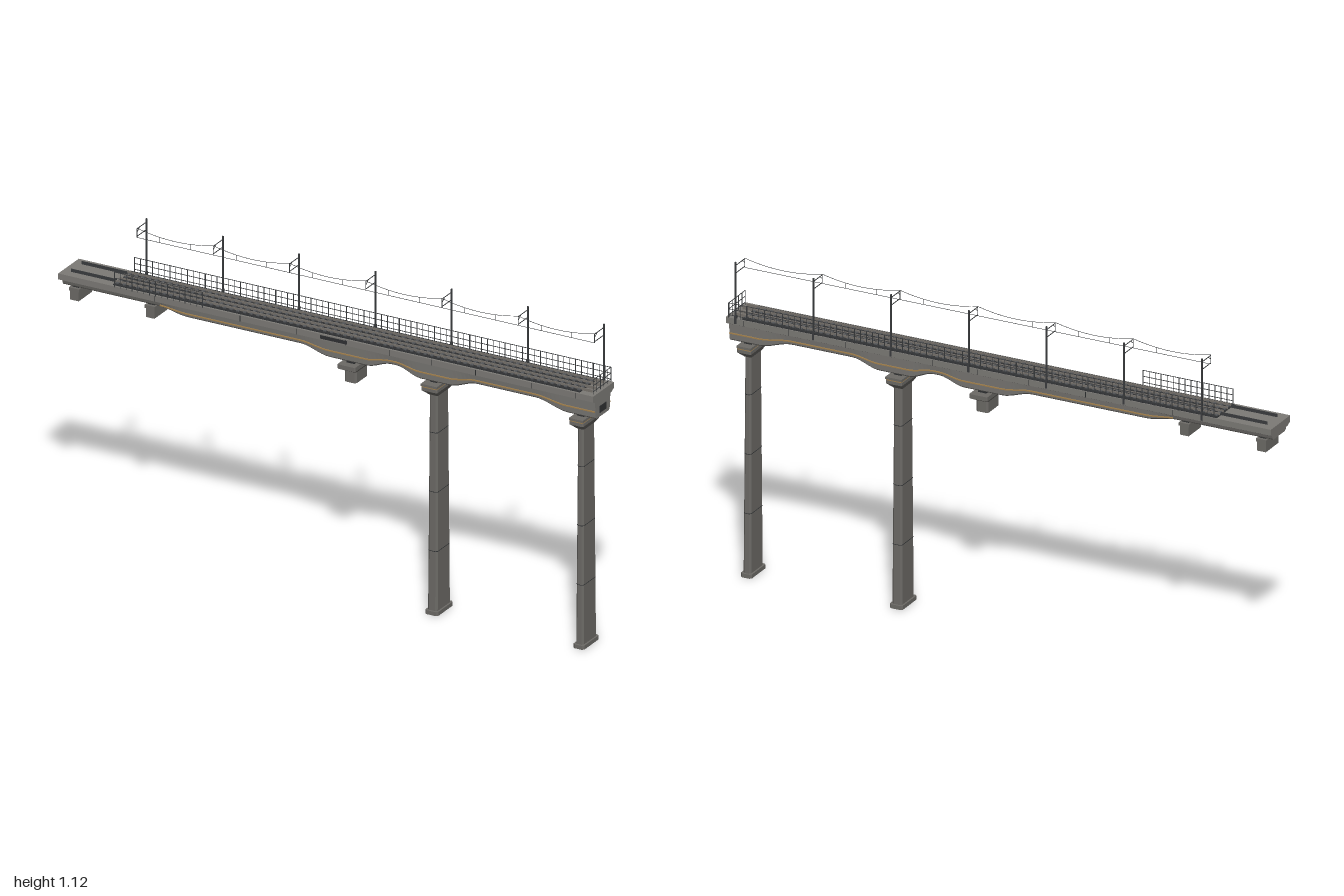
import * as THREE from 'three';
import { mergeGeometries } from 'three/addons/utils/BufferGeometryUtils.js';

const mat = (color) => new THREE.MeshStandardMaterial({ color, flatShading: true });
const concrete = mat(0x7c7a76), pierGrey = mat(0x6c6a66), dark = mat(0x2e3032);
const steel = mat(0x3a3c3e), sleeperGrey = mat(0x55575a), railGrey = mat(0x77726c), ochre = mat(0xa4824e);

// box from its limits
function box(x0, x1, y0, y1, z0, z1) {
  return new THREE.BoxGeometry(x1 - x0, y1 - y0, z1 - z0)
    .translate((x0 + x1) / 2, (y0 + y1) / 2, (z0 + z1) / 2);
}

// square bar between two points
function bar(a, b, r) {
  const p = new THREE.Vector3(...a), d = new THREE.Vector3(...b).sub(p);
  const q = new THREE.Quaternion().setFromUnitVectors(new THREE.Vector3(0, 1, 0), d.clone().normalize());
  return new THREE.BoxGeometry(2 * r, d.length(), 2 * r)
    .applyQuaternion(q).translate(...p.addScaledVector(d, 0.5).toArray());
}

// skin over convex rings of points, closed at both ends
function loft(rings) {
  const pos = [], n = rings[0].length;
  const tri = (...pts) => pts.forEach((p) => pos.push(...p));
  for (let k = 0; k + 1 < rings.length; k++) {
    const a = rings[k], b = rings[k + 1];
    for (let i = 0; i < n; i++) {
      const j = (i + 1) % n;
      tri(a[i], a[j], b[j]);
      tri(a[i], b[j], b[i]);
    }
  }
  const first = rings[0], last = rings[rings.length - 1];
  for (let i = 1; i + 1 < n; i++) {
    tri(first[0], first[i + 1], first[i]);
    tri(last[0], last[i], last[i + 1]);
  }
  const g = new THREE.BufferGeometry();
  g.setAttribute('position', new THREE.Float32BufferAttribute(pos, 3));
  g.computeVertexNormals();
  return g;
}

// underside height of the girder, eased between key points
const keys = [[-1, 0.872], [-0.64, 0.872], [-0.53, 0.855], [-0.11, 0.855], [0, 0.83], [0.14, 0.83], [0.23, 0.855],
  [0.25, 0.855], [0.34, 0.828], [0.45, 0.828], [0.55, 0.855], [0.77, 0.855], [0.89, 0.828], [1, 0.828]];
function bottom(x) {
  let i = 0;
  while (i < keys.length - 2 && x > keys[i + 1][0]) i++;
  const [x0, y0] = keys[i], [x1, y1] = keys[i + 1];
  return y0 + (y1 - y0) * THREE.MathUtils.smoothstep(x, x0, x1);
}
const stations = (x0, x1, n) => Array.from({ length: n + 1 }, (_, i) => x0 + (x1 - x0) * i / n);

// rectangle ring with cut corners at height y (half sizes hx, hz)
function pierRing(cx, y, hx, hz, c = 0.006) {
  return [[hz, -hx + c], [hz, hx - c], [hz - c, hx], [-hz + c, hx], [-hz, hx - c],
    [-hz, -hx + c], [-hz + c, -hx], [hz - c, -hx]].map(([z, x]) => [cx + x, y, z]);
}

export function createModel() {
  const group = new THREE.Group();
  const add = (name, material, ...geos) => {
    const list = geos.flat().map((g) => {
      const s = g.index ? g.toNonIndexed() : g;
      s.deleteAttribute('uv');
      return s;
    });
    const mesh = new THREE.Mesh(mergeGeometries(list), material);
    mesh.name = name;
    group.add(mesh);
  };

  // deck slab with sloping cantilever undersides
  const slab = [[0.918, -0.068], [0.918, 0.068], [0.897, 0.068], [0.888, 0.05], [0.888, -0.05], [0.897, -0.068]];
  add('deckSlab', concrete, loft([-1, 1].map((x) => slab.map(([y, z]) => [x, y, z]))));

  // haunched box girder with sloping webs
  add('girder', concrete, loft(stations(-0.995, 0.997, 130).map((x) => {
    const b = bottom(x);
    return [[0.89, -0.051], [0.89, 0.051], [b + 0.005, 0.046], [b, 0.041], [b, -0.041], [b + 0.005, -0.046]]
      .map(([y, z]) => [x, y, z]);
  })));

  // coloured stripe along both webs, following the haunches
  const stripe = (s) => loft(stations(-0.63, 0.996, 100).map((x) => {
    const y = 0.888 - (0.888 - bottom(x)) * 0.55, z = 0.0495 * s;
    return [[y + 0.002, z - 0.002], [y + 0.002, z + 0.002], [y - 0.002, z + 0.002], [y - 0.002, z - 0.002]]
      .map(([yy, zz]) => [x, yy, zz]);
  }));
  add('girderStripe', ochre, stripe(1), stripe(-1));

  // segment joints, edge line and the hatch in the end face
  const joints = [-0.64, -0.32, -0.11, 0.075, 0.24, 0.395, 0.56, 0.77, 0.935];
  add('deckJoints', dark, joints.map((x) => box(x - 0.001, x + 0.001, 0.897, 0.917, -0.0687, 0.0687)));
  add('endHatch', dark, box(0.99, 0.999, 0.842, 0.866, -0.021, 0.021));
  add('sidePlate', dark, box(-0.02, 0.08, 0.902, 0.914, 0.06, 0.07));

  // ballast bed, sleepers and running rails
  add('trackBed', dark, box(-0.8, 0.945, 0.915, 0.92, -0.064, 0.06));
  const sleepers = [];
  for (let x = -0.79; x < 0.94; x += 0.025) {
    sleepers.push(box(x - 0.005, x + 0.005, 0.918, 0.9235, -0.052, -0.006));
    sleepers.push(box(x - 0.005, x + 0.005, 0.918, 0.9235, 0.004, 0.05));
  }
  add('sleepers', sleeperGrey, sleepers);
  add('rails', railGrey, [-0.042, -0.016, 0.014, 0.04].map((z) => box(-0.8, 0.98, 0.918, 0.928, z - 0.0013, z + 0.0013)));
  add('approachRails', steel, [-0.035, 0.035].map((z) => box(-0.97, -0.8, 0.917, 0.929, z - 0.001, z + 0.001)));

  // tall piers: plinth, tapered shaft, flared cap, bearings
  for (const [cx, hx] of [[0.385, 0.018], [0.935, 0.014]]) {
    add('pierPlinth', pierGrey, loft([pierRing(cx, 0, hx + 0.006, 0.053), pierRing(cx, 0.014, hx + 0.006, 0.053)]));
    add('pierShaft', pierGrey, loft([pierRing(cx, 0.012, hx, 0.046), pierRing(cx, 0.79, hx - 0.003, 0.039)]));
    add('pierJoints', dark, [0.225, 0.435, 0.645].map((y) => {
      const t = y / 0.79, rx = hx - 0.003 * t + 0.0006, rz = 0.0464 - 0.007 * t + 0.0004;
      return loft([pierRing(cx, y - 0.001, rx, rz), pierRing(cx, y + 0.001, rx, rz)]);
    }));
    add('pierCap', pierGrey, loft([pierRing(cx, 0.778, hx, 0.04, 0.003), pierRing(cx, 0.8, hx + 0.012, 0.067, 0.003),
      pierRing(cx, 0.811, hx + 0.012, 0.067, 0.003)]), box(cx - hx - 0.012, cx + hx + 0.012, 0.815, 0.823, -0.068, 0.068));
    add('pierCapBand', ochre, box(cx - hx - 0.01, cx + hx + 0.01, 0.81, 0.816, -0.066, 0.066));
    add('bearings', dark, [-0.026, 0.026].map((z) => box(cx - 0.013, cx + 0.013, 0.822, 0.832, z - 0.012, z + 0.012)));
  }

  // short middle pier
  add('shortPier', pierGrey, loft([pierRing(0.075, 0.755, 0.022, 0.04), pierRing(0.075, 0.81, 0.022, 0.04)]),
    loft([pierRing(0.075, 0.795, 0.023, 0.042, 0.003), pierRing(0.075, 0.808, 0.033, 0.066, 0.003),
      pierRing(0.075, 0.823, 0.033, 0.066, 0.003)]));
  add('shortPierBearings', dark, [-0.026, 0.026].map((z) => box(0.06, 0.09, 0.822, 0.833, z - 0.012, z + 0.012)));

  // approach supports
  for (const cx of [-0.953, -0.67]) {
    add('approachSupport', pierGrey, box(cx - 0.016, cx + 0.016, 0.823, 0.862, -0.044, 0.044),
      box(cx - 0.019, cx + 0.019, 0.856, 0.867, -0.047, 0.047));
    add('approachBearings', dark, [-0.026, 0.026].map((z) => box(cx - 0.012, cx + 0.012, 0.866, 0.874, z - 0.01, z + 0.01)));
  }

  // handrails: posts and three horizontal bars
  const railing = (a, b) => {
    const n = Math.round(Math.hypot(b[0] - a[0], b[1] - a[1]) / 0.022);
    const at = (t, y) => [a[0] + (b[0] - a[0]) * t, y, a[1] + (b[1] - a[1]) * t];
    const parts = [0.927, 0.948, 0.969].map((y) => bar(at(0, y), at(1, y), 0.0009));
    for (let i = 0; i <= n; i++) parts.push(bar(at(i / n, 0.915), at(i / n, 0.97), i % 3 ? 0.0007 : 0.0013));
    return parts;
  };
  add('backRailing', steel, railing([-0.79, -0.066], [0.99, -0.066]));
  add('frontRailing', steel, railing([-0.79, 0.068], [-0.46, 0.068]));
  add('endRailing', steel, railing([0.99, -0.066], [0.99, 0.05]));

  // overhead line masts with bracket arms
  const masts = stations(-0.745, 0.965, 6), armEnd = -0.002;
  for (const x of masts) {
    add('mast', steel, box(x - 0.0035, x + 0.0035, 0.9, 0.93, -0.069, -0.061),
      bar([x, 0.915, -0.065], [x, 1.118, -0.065], 0.0024),
      bar([x, 1.106, -0.065], [x, 1.106, armEnd], 0.001),
      bar([x, 1.079, -0.065], [x, 1.079, armEnd], 0.001),
      bar([x, 1.106, -0.02], [x, 1.093, armEnd], 0.0008),
      bar([x, 1.075, armEnd], [x, 1.107, armEnd], 0.0008));
  }

  // contact wire, sagging carrier wire and droppers
  const wires = [bar([masts[0], 1.075, armEnd], [masts[6], 1.075, armEnd], 0.0006)];
  for (let k = 0; k < 6; k++) {
    const at = (t) => [masts[k] + (masts[k + 1] - masts[k]) * t, 1.108 - 0.068 * t * (1 - t), armEnd];
    for (let i = 0; i < 10; i++) wires.push(bar(at(i / 10), at((i + 1) / 10), 0.0006));
    for (const t of [0.3, 0.7]) wires.push(bar(at(t), [at(t)[0], 1.075, armEnd], 0.0004));
  }
  add('overheadWires', steel, wires);
  return group;
}
